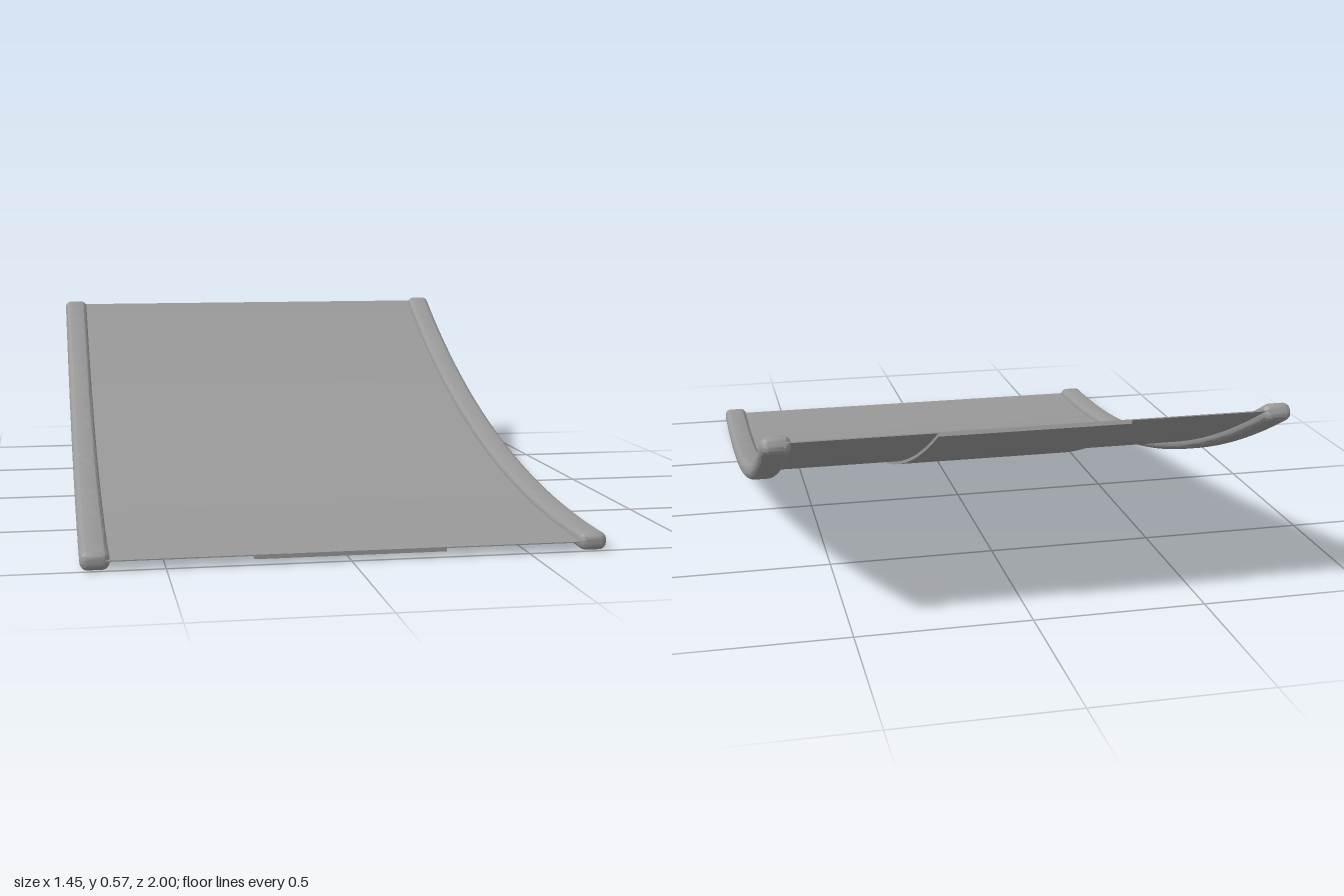
import * as THREE from 'three';
import { toCreasedNormals } from 'three/addons/utils/BufferGeometryUtils.js';

const R = 3.99;                 // radius of the curve
const L = R * Math.PI / 6;      // arc length, 30 degrees
const material = new THREE.MeshStandardMaterial({ color: 0x999999 });

// Wraps a straight piece (z from 0 to L, y = height off the curve) onto the arc
function bend(geometry) {
  const p = geometry.attributes.position;
  for (let i = 0; i < p.count; i++) {
    const a = (L - p.getZ(i)) / R;
    const r = R - p.getY(i);
    p.setXYZ(i, p.getX(i), 0.025 + R - r * Math.cos(a), 1 - r * Math.sin(a));
  }
  geometry.computeVertexNormals();
  return geometry;
}

// Thin curved sheet between heights y0 and y1
function sheet(name, width, y0, y1) {
  const g = new THREE.BoxGeometry(width, y1 - y0, L, 1, 1, 64);
  g.translate(0, (y0 + y1) / 2, L / 2);
  const mesh = new THREE.Mesh(bend(g), material);
  mesh.name = name;
  return mesh;
}

function roundedRect(w, h, r) {
  const x = w / 2 - r, y = h / 2 - r;
  const s = new THREE.Shape();
  s.absarc(x, y, r, 0, Math.PI / 2);
  s.absarc(-x, y, r, Math.PI / 2, Math.PI);
  s.absarc(-x, -y, r, Math.PI, Math.PI * 1.5);
  s.absarc(x, -y, r, Math.PI * 1.5, Math.PI * 2);
  return s;
}

// Rounded side rail with softened ends
function rail(name, x) {
  const b = 0.019;
  const g = new THREE.ExtrudeGeometry(roundedRect(0.079, 0.05, 0.021), {
    depth: L - 2 * b, steps: 64, curveSegments: 6,
    bevelSize: b, bevelThickness: b, bevelOffset: -b, bevelSegments: 6,
  });
  g.translate(x, 0, b);
  const mesh = new THREE.Mesh(toCreasedNormals(bend(g), 0.7), material);
  mesh.name = name;
  return mesh;
}

export function createModel() {
  const model = new THREE.Group();
  model.name = 'curvedPanel';
  model.add(sheet('panel', 1.32, 0, 0.003));
  // Wide reinforcing strip along the middle of the underside
  model.add(sheet('undersideStrip', 0.53, -0.009, 0.001));
  model.add(rail('leftRail', 0.687), rail('rightRail', -0.687));
  return model;
}
